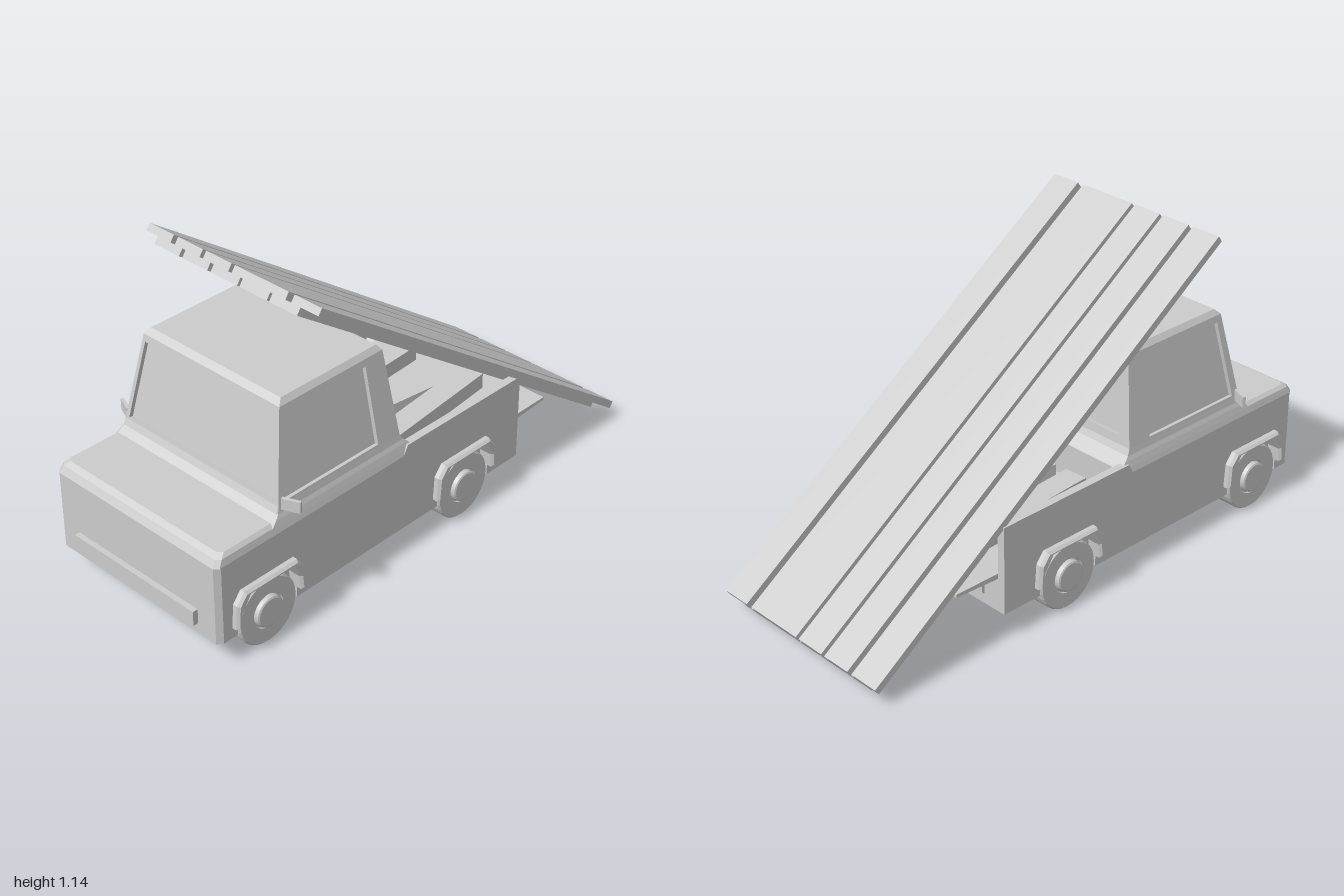
import * as THREE from 'three';

const mat = new THREE.MeshStandardMaterial({ color: 0xcccccc, flatShading: true, side: THREE.DoubleSide });
const V = (x, y, z) => new THREE.Vector3(x, y, z);

export function createModel() {
  const model = new THREE.Group();

  const add = (name, geo, x = 0, y = 0, z = 0) => {
    const m = new THREE.Mesh(geo, mat);
    m.name = name;
    m.position.set(x, y, z);
    model.add(m);
    return m;
  };
  // Box given by its limits on each axis
  const box = (name, x0, x1, y0, y1, z0, z1) =>
    add(name, new THREE.BoxGeometry(x1 - x0, y1 - y0, z1 - z0), (x0 + x1) / 2, (y0 + y1) / 2, (z0 + z1) / 2);

  // Skin between rings of equal point count, closed at the last ring
  const loft = (rings) => {
    const pos = [];
    const tri = (...p) => p.forEach((q) => pos.push(q.x, q.y, q.z));
    const n = rings[0].length;
    for (let r = 0; r < rings.length - 1; r++) {
      for (let i = 0; i < n; i++) {
        const j = (i + 1) % n, a = rings[r], b = rings[r + 1];
        tri(a[i], a[j], b[j]);
        tri(a[i], b[j], b[i]);
      }
    }
    const top = rings[rings.length - 1];
    for (let i = 1; i < n - 1; i++) tri(top[0], top[i], top[i + 1]);
    const g = new THREE.BufferGeometry();
    g.setAttribute('position', new THREE.Float32BufferAttribute(pos, 3));
    g.computeVertexNormals();
    return g;
  };
  // Horizontal ring with chamfered front corners
  const ring = (y, hx, zf, zb, c = 0.015) => [
    V(-hx, y, zf - c), V(-hx + c, y, zf), V(hx - c, y, zf), V(hx, y, zf - c), V(hx, y, zb), V(-hx, y, zb),
  ];

  // Lower nose: full-width front, narrower behind so the side panels sit outside it
  const nose = new THREE.Shape([
    [-0.365, -0.98], [0.365, -0.98], [0.38, -0.96], [0.35, -0.95],
    [0.35, -0.14], [-0.35, -0.14], [-0.35, -0.95], [-0.38, -0.96],
  ].map(([x, y]) => new THREE.Vector2(x, y)));
  add('frontBody', new THREE.ExtrudeGeometry(nose, { depth: 0.295, bevelEnabled: false }).rotateX(-Math.PI / 2), 0, 0.105, 0);

  // Hood and the shoulder that rises into the cabin
  add('hood', loft([ring(0.40, 0.38, 0.98, 0.12), ring(0.425, 0.374, 0.965, 0.12), ring(0.437, 0.362, 0.945, 0.12)]));
  add('cabinShoulder', loft([
    ring(0.42, 0.376, 0.75, 0.09, 0.01), ring(0.442, 0.37, 0.725, 0.11, 0.01),
    ring(0.457, 0.364, 0.705, 0.13, 0.005), ring(0.48, 0.36, 0.695, 0.14, 0.001),
  ]));

  // Cabin walls, each with a recessed window
  const lo = [V(-0.36, 0.48, 0.695), V(0.36, 0.48, 0.695), V(0.36, 0.48, 0.14), V(-0.36, 0.48, 0.14)];
  const hi = [V(-0.312, 0.80, 0.635), V(0.312, 0.80, 0.635), V(0.312, 0.80, 0.175), V(-0.312, 0.80, 0.175)];
  const windowWall = (name, i, u0, u1, v0 = 0.025, v1 = 0.92) => {
    const j = (i + 1) % 4;
    const q = [lo[i], lo[j], hi[j], hi[i]];
    const at = (u, v) => q[0].clone().lerp(q[1], u).lerp(q[3].clone().lerp(q[2], u), v);
    const hole = [at(u0, v0), at(u1, v0), at(u1, v1), at(u0, v1)];
    const inward = q[1].clone().sub(q[0]).cross(q[3].clone().sub(q[0])).normalize().multiplyScalar(-0.015);
    add(name, loft([q, hole, hole.map((p) => p.clone().add(inward))]));
  };
  windowWall('windshieldWall', 0, 0.022, 0.978);
  windowWall('leftDoorWindow', 1, 0.055, 0.82);
  windowWall('rearWindowWall', 2, 0.07, 0.93, 0.1);
  windowWall('rightDoorWindow', 3, 0.18, 0.945);
  add('roof', loft([hi, [V(-0.298, 0.82, 0.615), V(0.298, 0.82, 0.615), V(0.298, 0.82, 0.19), V(-0.298, 0.82, 0.19)]]));

  // Cargo bed, lowered tailgate and bumpers
  box('bedFloor', -0.35, 0.35, 0.105, 0.25, -0.455, 0.14);
  add('tailgate', loft([
    [V(-0.35, 0.23, -0.45), V(0.35, 0.23, -0.45), V(0.35, 0.24, -0.635), V(-0.35, 0.24, -0.635)],
    [V(-0.35, 0.25, -0.45), V(0.35, 0.25, -0.45), V(0.35, 0.252, -0.635), V(-0.35, 0.252, -0.635)],
  ]));
  box('frontBumper', -0.285, 0.285, 0.145, 0.2, 0.97, 1.0);
  box('rearBumper', -0.285, 0.285, 0.145, 0.2, -0.465, -0.45);

  // Loose beams lying in the bed
  [[-0.17, 0.285, 0.06], [0.02, 0.285, -0.12], [0.16, 0.305, 0.1]].forEach(([x, y, turn]) => {
    const b = add('loadBeam', new THREE.BoxGeometry(0.09, 0.06, 0.6), x, y, -0.2);
    b.rotation.y = turn;
  });

  // Wheel arch outline, half-width by height, scaled out for the flare
  const axles = [-0.165, 0.77];
  const archInner = [[-0.13, 0.145], [-0.125, 0.2], [-0.09, 0.255], [0.09, 0.255], [0.125, 0.2], [0.13, 0.145]];
  const archOuter = [[-0.153, 0.145], [-0.147, 0.235], [-0.115, 0.275], [0.115, 0.275], [0.147, 0.235], [0.153, 0.145]];

  for (const s of [-1, 1]) {
    const side = s > 0 ? 'left' : 'right';

    // Side panel with both arches cut out
    const pts = [[-0.455, 0.105]];
    for (const z of axles) {
      pts.push([z - 0.13, 0.105], ...archInner.map(([a, y]) => [z + a, y]), [z + 0.13, 0.105]);
    }
    pts.push([0.96, 0.105], [0.96, 0.4], [0.14, 0.4], [0.12, 0.435], [-0.455, 0.435]);
    const panel = new THREE.Shape(pts.map((p) => new THREE.Vector2(...p)));
    add(side + 'SidePanel', new THREE.ExtrudeGeometry(panel, { depth: 0.03, bevelEnabled: false }).rotateY(-Math.PI / 2),
      s > 0 ? 0.38 : -0.35);

    axles.forEach((z, k) => {
      const end = k ? 'Front' : 'Rear';
      // Fender flare
      const flare = new THREE.Shape([...archOuter, ...archInner.slice().reverse()].map((p) => new THREE.Vector2(...p)));
      const flareGeo = new THREE.ExtrudeGeometry(flare, {
        depth: 0.02, bevelThickness: 0.01, bevelSize: 0.008, bevelOffset: -0.008, bevelSegments: 1,
      }).translate(0, 0, -0.01).rotateY(-Math.PI / 2);
      add(side + end + 'Flare', flareGeo, s * 0.387, 0, z);

      // Wheel with a grooved hub
      const profile = [[0, 0], [0.125, 0], [0.125, 0.07], [0.12, 0.075], [0.065, 0.075], [0.063, 0.068],
        [0.058, 0.068], [0.056, 0.085], [0.05, 0.088], [0, 0.088]].map((p) => new THREE.Vector2(...p));
      add(side + end + 'Wheel', new THREE.LatheGeometry(profile, 32).rotateZ(-s * Math.PI / 2), s * 0.308, 0.127, z);
    });

    // Door mirror
    const mirror = add(side + 'Mirror', new THREE.BoxGeometry(0.065, 0.042, 0.012), s * 0.391, 0.488, 0.668);
    mirror.rotation.y = s * 0.4;
  }

  // Two staggered layers of long planks leaning over the cabin
  const planks = new THREE.Group();
  planks.name = 'plankStack';
  const slope = Math.atan2(1.06, 1.53), length = Math.hypot(1.06, 1.53), t = 0.027;
  const layers = [
    [[-0.375, -0.26], [-0.24, -0.125], [-0.11, 0.005], [0.02, 0.255], [0.28, 0.395]],
    [[-0.32, -0.205], [-0.19, -0.075], [-0.06, 0.06], [0.07, 0.19], [0.2, 0.32]],
  ];
  layers.forEach((row, k) => row.forEach(([a, b]) => {
    const p = new THREE.Mesh(new THREE.BoxGeometry(b - a, t, length), mat);
    p.name = k ? 'lowerPlank' : 'upperPlank';
    p.position.set((a + b) / 2, -t * (k + 0.5), 0);
    planks.add(p);
  }));
  planks.position.set(0, 0.61, -0.235);
  planks.rotation.x = -slope;
  model.add(planks);

  return model;
}
